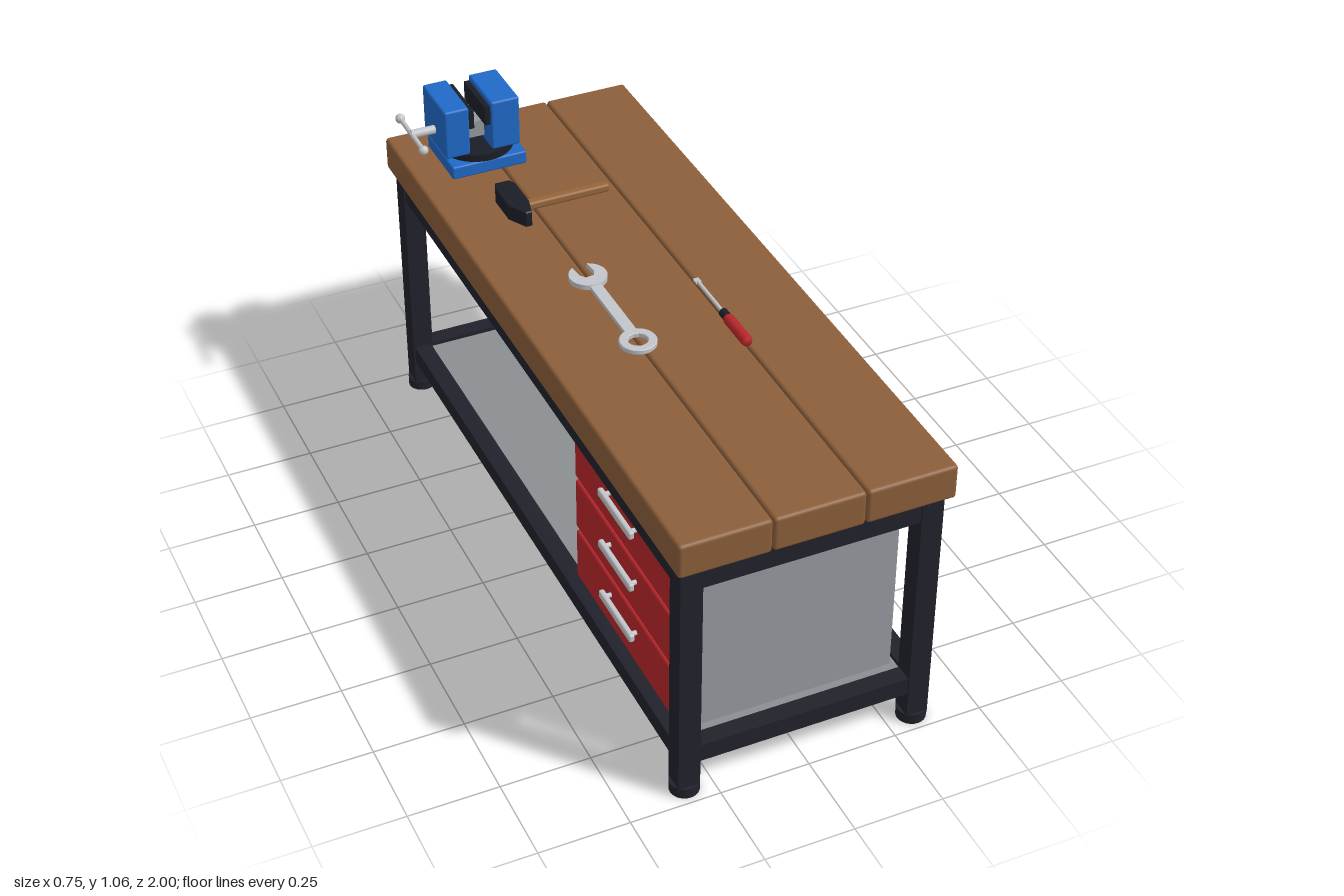
import * as THREE from 'three';
import { RoundedBoxGeometry } from 'three/addons/geometries/RoundedBoxGeometry.js';

const mat = (name, color) => {
  const m = new THREE.MeshStandardMaterial({ color });
  m.name = name;
  return m;
};

export function createModel() {
  const wood = mat('benchWood', 0x8b5e3a);
  const handleWood = mat('handleWood', 0x96653a);
  const frame = mat('frameSteel', 0x21212b);
  const blackIron = mat('blackIron', 0x1b1e27);
  const cabinetGrey = mat('cabinetGrey', 0x9698a0);
  const shelfGrey = mat('shelfGrey', 0x8b8e92);
  const red = mat('red', 0xb8262b);
  const blue = mat('blue', 0x2069c8);
  const silver = mat('silver', 0xc2c5c9);

  const root = new THREE.Group();
  root.name = 'workbench';
  const group = (name) => {
    const g = new THREE.Group();
    g.name = name;
    root.add(g);
    return g;
  };
  const add = (parent, name, geometry, material, x = 0, y = 0, z = 0) => {
    const m = new THREE.Mesh(geometry, material);
    m.name = name;
    m.position.set(x, y, z);
    parent.add(m);
    return m;
  };
  // Box given by its limits; r rounds the edges
  const box = (parent, name, material, [x0, x1], [y0, y1], [z0, z1], r = 0) => {
    const s = [x1 - x0, y1 - y0, z1 - z0];
    const geo = r ? new RoundedBoxGeometry(...s, 3, r) : new THREE.BoxGeometry(...s);
    return add(parent, name, geo, material, (x0 + x1) / 2, (y0 + y1) / 2, (z0 + z1) / 2);
  };
  // Cylinder lying along 'x' or 'z', or standing along 'y'
  const rod = (parent, name, material, axis, r, length, x, y, z, sides = 20) => {
    const geo = new THREE.CylinderGeometry(r, r, length, sides);
    if (axis === 'x') geo.rotateZ(Math.PI / 2);
    if (axis === 'z') geo.rotateX(Math.PI / 2);
    return add(parent, name, geo, material, x, y, z);
  };
  // Outline in (x, z) raised from y0 to y0 + height
  const plate = (parent, name, material, shape, y0, height, bevel = 0) => {
    const geo = new THREE.ExtrudeGeometry(shape, {
      depth: height - 2 * bevel, bevelEnabled: bevel > 0, bevelSize: bevel,
      bevelThickness: bevel, bevelOffset: -bevel, bevelSegments: 1, curveSegments: 24,
    });
    geo.translate(0, 0, bevel).rotateX(-Math.PI / 2);
    return add(parent, name, geo, material, 0, y0, 0);
  };

  // Three-plank top
  const top = group('benchTop');
  for (const i of [-1, 0, 1]) {
    box(top, 'plank', wood, [i * 0.25 - 0.1235, i * 0.25 + 0.1235], [0.75, 0.85], [-1, 1], 0.01);
  }

  // Legs, feet and rails
  const base = group('frame');
  const LX = 0.326, LZ = 0.944;
  for (const sx of [-1, 1]) {
    for (const sz of [-1, 1]) {
      const x = sx * LX, z = sz * LZ;
      box(base, 'leg', frame, [x - 0.03, x + 0.03], [0.02, 0.75], [z - 0.03, z + 0.03]);
      rod(base, 'foot', frame, 'y', 0.04, 0.03, x, 0.015, z, 24);
    }
  }
  for (const [y0, y1, name] of [[0.675, 0.75, 'upperRail'], [0.102, 0.155, 'lowerRail']]) {
    for (const s of [-1, 1]) {
      box(base, name, frame, [s * LX - 0.025, s * LX + 0.025], [y0, y1], [-0.914, 0.914]);
      box(base, name, frame, [-0.296, 0.296], [y0, y1], [s * LZ - 0.025, s * LZ + 0.025]);
    }
  }
  box(base, 'shelf', shelfGrey, [-0.302, 0.302], [0.125, 0.143], [-0.92, 0.92]);

  // Drawer cabinet opening to the right side
  const cabinet = group('drawerCabinet');
  box(cabinet, 'cabinetBody', cabinetGrey, [-0.3, 0.286], [0.143, 0.675], [0.243, 0.887]);
  for (let i = 0; i < 3; i++) {
    const y = 0.247 + i * 0.17;
    box(cabinet, 'drawerFront', red, [-0.324, -0.295], [y - 0.079, y + 0.079], [0.255, 0.875], 0.008);
    box(cabinet, 'drawerHandle', silver, [-0.352, -0.336], [y + 0.02, y + 0.044], [0.465, 0.665], 0.006);
    for (const s of [-1, 1]) {
      rod(cabinet, 'handlePost', silver, 'x', 0.007, 0.024, -0.332, y + 0.032, 0.565 + s * 0.08, 12);
    }
  }

  // Bench vise
  const vise = group('vise');
  const VX = -0.167, VZ = -0.804;
  box(vise, 'viseBase', blue, [-0.278, -0.055], [0.85, 0.89], [VZ - 0.1, VZ + 0.1], 0.006);
  rod(vise, 'turntable', blackIron, 'y', 0.104, 0.022, VX, 0.901, VZ, 36);
  box(vise, 'movingJaw', blue, [-0.29, -0.217], [0.912, 1.062], [VZ - 0.087, VZ + 0.087], 0.007);
  box(vise, 'fixedJaw', blue, [-0.152, -0.067], [0.91, 1.062], [VZ - 0.087, VZ + 0.087], 0.007);
  box(vise, 'jawPad', blackIron, [-0.219, -0.201], [0.99, 1.047], [VZ - 0.08, VZ + 0.08]);
  box(vise, 'jawPad', blackIron, [-0.168, -0.15], [0.99, 1.047], [VZ - 0.08, VZ + 0.08]);
  box(vise, 'slideBar', cabinetGrey, [-0.22, -0.15], [0.927, 0.976], [VZ - 0.026, VZ + 0.026]);
  rod(vise, 'screw', silver, 'x', 0.0125, 0.08, -0.32, 0.965, VZ);
  rod(vise, 'screwHandle', silver, 'z', 0.007, 0.19, -0.358, 0.965, VZ, 14);
  for (const s of [-1, 1]) {
    add(vise, 'handleKnob', new THREE.SphereGeometry(0.014, 16, 12), silver, -0.358, 0.965, VZ + s * 0.093);
  }

  // Hammer
  const hammer = group('hammer');
  const headOutline = [[-0.204, 0.57], [-0.162, 0.57], [-0.152, 0.55], [-0.152, 0.45],
    [-0.166, 0.395], [-0.184, 0.395], [-0.214, 0.45], [-0.214, 0.545]];
  const head = new THREE.Shape(headOutline.map(([x, v]) => new THREE.Vector2(x, v)).reverse());
  plate(hammer, 'hammerHead', blackIron, head, 0.852, 0.048, 0.003);
  box(hammer, 'hammerHandle', handleWood, [-0.155, 0.097], [0.852, 0.877], [-0.495, -0.466], 0.008);

  // Wrench: ring, shank and open jaw
  const wrench = group('wrench');
  const WX = -0.128;
  const ring = new THREE.Shape().absarc(WX, -0.223, 0.05, 0, Math.PI * 2);
  const hole = [];
  for (let i = 0; i < 12; i++) {
    const a = -i * Math.PI / 6;
    hole.push(new THREE.Vector2(WX + 0.027 * Math.cos(a), -0.223 + 0.027 * Math.sin(a)));
  }
  ring.holes.push(new THREE.Path(hole));
  plate(wrench, 'wrenchRing', silver, ring, 0.851, 0.015, 0.002);
  box(wrench, 'wrenchShank', silver, [WX - 0.016, WX + 0.016], [0.852, 0.864], [-0.07, 0.183]);
  const jaw = new THREE.Shape();
  jaw.absarc(0, 0, 0.052, Math.PI / 2 + 0.43, Math.PI * 2.5 - 0.43);
  [[0.022, 0.006], [0.012, -0.01], [-0.012, -0.01], [-0.022, 0.006]].forEach(([x, y]) => jaw.lineTo(x, y));
  const jawMesh = plate(wrench, 'wrenchJaw', silver, jaw, 0.851, 0.015);
  jawMesh.position.set(WX, 0.851, -0.1);
  jawMesh.rotation.y = 0.1;

  // Screwdriver
  const driver = group('screwdriver');
  const DX = 0.122, DY = 0.8665;
  const grip = [[0, 0], [0.0125, 0], [0.0155, 0.006], [0.0155, 0.112], [0.012, 0.12], [0, 0.12]];
  const gripGeo = new THREE.LatheGeometry(grip.map(([r, y]) => new THREE.Vector2(r, y)), 12);
  gripGeo.rotateX(Math.PI / 2);
  add(driver, 'screwdriverGrip', gripGeo, red, DX, DY, 0.233);
  rod(driver, 'screwdriverCollar', blackIron, 'z', 0.0125, 0.03, DX, DY, 0.22, 16);
  rod(driver, 'screwdriverShaft', silver, 'z', 0.0055, 0.155, DX, DY, 0.13, 12);
  box(driver, 'screwdriverTip', silver, [DX - 0.008, DX + 0.008], [DY - 0.003, DY + 0.003], [0.038, 0.058]);

  return root;
}
